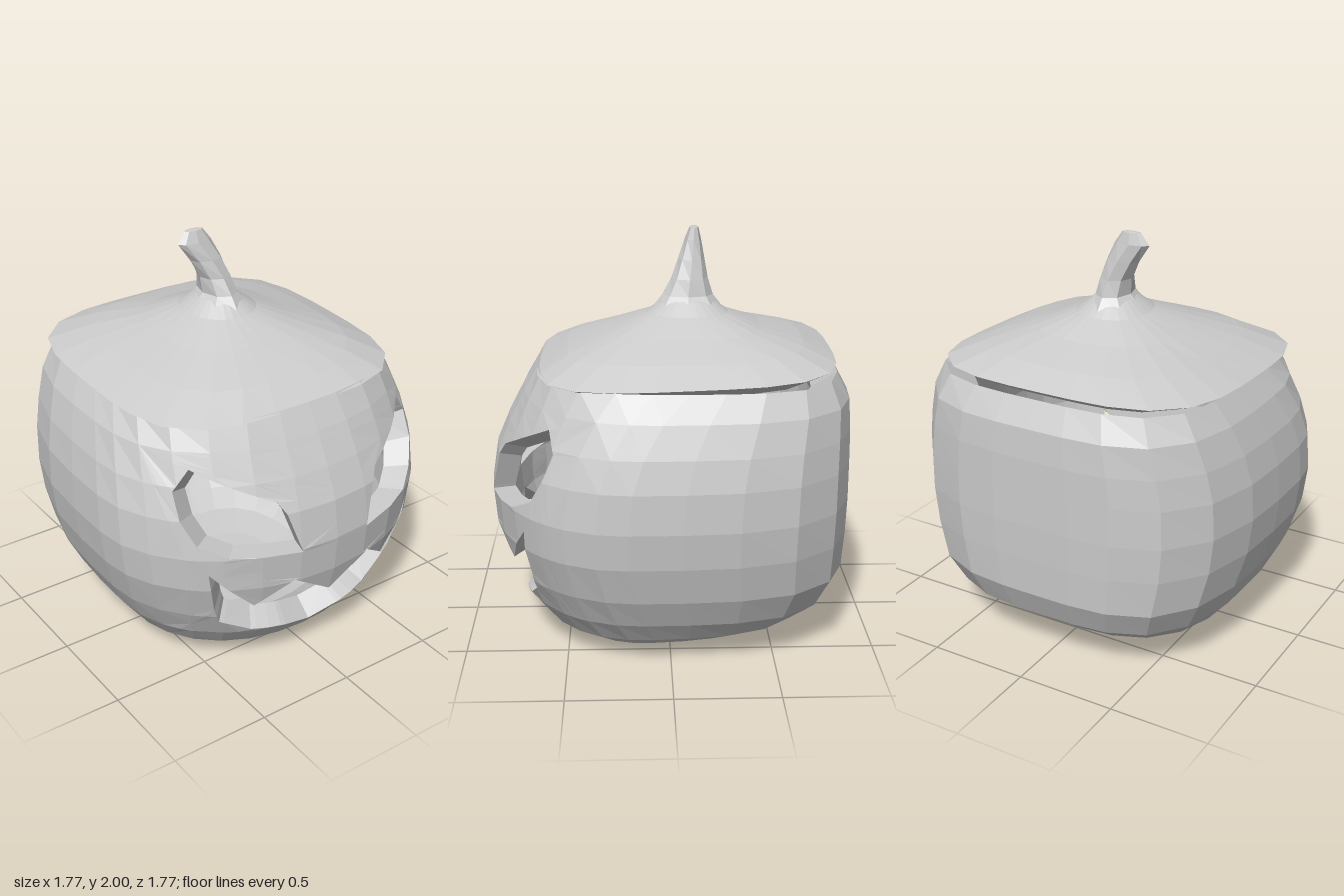
import * as THREE from 'three';

const SEGS = 28, STEP = (Math.PI * 2) / SEGS, FACE_COLS = 5;

// Body sections, bottom to rim: height, centre x, back x, front x, half width z, front roundness, back roundness
const SECTIONS = [
  [0.012, 0.15, 0.15, 0.15, 0, 2.2, 3],
  [0.022, 0.1, -0.3, 0.36, 0.33, 2.2, 3],
  [0.05, 0.08, -0.54, 0.5, 0.52, 2.2, 3],
  [0.13, 0.08, -0.68, 0.64, 0.65, 2.2, 3.2],
  [0.24, 0.12, -0.8, 0.74, 0.73, 2.1, 3.4],
  [0.39, 0.16, -0.87, 0.82, 0.805, 2, 3.5],
  [0.58, 0.2, -0.88, 0.87, 0.86, 2, 3.5],
  [0.76, 0.2, -0.885, 0.885, 0.883, 2, 3.5],
  [0.95, 0.18, -0.885, 0.855, 0.877, 2, 3.5],
  [1.1, 0.13, -0.885, 0.79, 0.845, 2.1, 3.5],
  [1.25, 0.04, -0.875, 0.71, 0.79, 2.4, 3.6],
  [1.37, -0.08, -0.81, 0.635, 0.715, 3, 3.8],
];
const LEVELS = SECTIONS.map((s) => s[0]);
const FACE_LOW = 3, FACE_HIGH = 10;

const roundness = (c, s, n) => (Math.abs(c) ** n + Math.abs(s) ** n) ** (-1 / n);

// Point on the outer skin (depth 0) or the inner wall (depth 1)
function skin(t, y, depth = 0) {
  let i = 0;
  while (i < SECTIONS.length - 2 && y > LEVELS[i + 1]) i++;
  const f = (y - LEVELS[i]) / (LEVELS[i + 1] - LEVELS[i]);
  const [, cx, back, front, half, nf, nb] = SECTIONS[i].map((v, k) => THREE.MathUtils.lerp(v, SECTIONS[i + 1][k], f));
  const c = Math.cos(t), s = Math.sin(t);
  const r = roundness(c, s, c > 0 ? nf : nb) * (depth ? 0.84 : 1);
  const x = cx + (c > 0 ? front - cx : cx - back) * r * c;
  const tilt = -0.05 * x * Math.max(0, 1 - y / 0.25);
  const h = y + tilt;
  return new THREE.Vector3(x, depth ? 0.75 + (h - 0.75) * 0.86 : h, half * r * s);
}

// Angle at which the front skin reaches a given z
function angleAt(z, y) {
  let lo = -1.4, hi = 1.4;
  for (let i = 0; i < 30; i++) {
    const mid = (lo + hi) / 2;
    if (skin(mid, y).z < z) lo = mid; else hi = mid;
  }
  return (lo + hi) / 2;
}

function meshFrom(points, name) {
  const geometry = new THREE.BufferGeometry().setFromPoints(points);
  geometry.computeVertexNormals();
  const material = new THREE.MeshStandardMaterial({ color: 0xcccccc, flatShading: true, side: THREE.DoubleSide });
  const mesh = new THREE.Mesh(geometry, material);
  mesh.name = name;
  return mesh;
}

// Cut convex polygons along one grid line
function cut(polys, axis, value) {
  const out = [];
  for (const p of polys) {
    for (const sign of [1, -1]) {
      const part = [];
      p.forEach((a, i) => {
        const b = p[(i + 1) % p.length];
        const da = (a[axis] - value) * sign, db = (b[axis] - value) * sign;
        if (da >= 0) part.push(a);
        if ((da > 0 && db < 0) || (da < 0 && db > 0)) part.push(a.clone().lerp(b, da / (da - db)));
      });
      const area = THREE.ShapeUtils.area(part);
      if (part.length > 2 && Math.abs(area) > 1e-8) out.push(part);
    }
  }
  return out;
}

function createBody() {
  const pts = [];
  const V = (x, y) => new THREE.Vector2(x, y);
  const addPoly = (poly) => {
    const p = THREE.ShapeUtils.area(poly) < 0 ? poly.slice().reverse() : poly;
    for (let i = 1; i < p.length - 1; i++) {
      for (const q of [p[0], p[i + 1], p[i]]) pts.push(skin(q.x, q.y));
      for (const q of [p[0], p[i], p[i + 1]]) pts.push(skin(q.x, q.y, 1));
    }
  };
  const addWall = (a, b) => {
    const [A, B, C, D] = [skin(a.x, a.y), skin(b.x, b.y), skin(b.x, b.y, 1), skin(a.x, a.y, 1)];
    pts.push(A, B, C, A, C, D);
  };

  // Plain skin outside the carved window, and the rim
  for (let j = 0; j < SEGS; j++) {
    const t0 = (j - SEGS / 2) * STEP, t1 = t0 + STEP;
    const col = j - SEGS / 2;
    for (let i = 0; i < LEVELS.length - 1; i++) {
      if (col >= -FACE_COLS && col < FACE_COLS && i >= FACE_LOW && i < FACE_HIGH) continue;
      addPoly([V(t0, LEVELS[i]), V(t1, LEVELS[i]), V(t1, LEVELS[i + 1]), V(t0, LEVELS[i + 1])]);
    }
    addWall(V(t1, LEVELS.at(-1)), V(t0, LEVELS.at(-1)));
  }

  // Eye and mouth outlines as z, y
  const eye = [[0.615, 1.18], [0.69, 1.08], [0.69, 0.95], [0.64, 0.83], [0.525, 0.77], [0.19, 0.745], [0.255, 0.95], [0.29, 1.01]];
  const halfMouth = [[0.22, 0.59], [0.39, 0.46], [0.6, 0.675], [0.55, 0.44], [0.51, 0.345], [0.35, 0.255], [0.19, 0.23]];
  const flip = (o) => o.map(([z, y]) => [-z, y]).reverse();
  const mouth = [[0, 0.445], ...halfMouth, [0, 0.185], ...flip(halfMouth)];
  const holes = [eye, flip(eye), mouth].map((o) => {
    const h = o.map(([z, y]) => V(angleAt(z, y), y));
    return THREE.ShapeUtils.isClockWise(h) ? h : h.reverse();
  });

  // Carved face window, cut along the same grid as the skin
  const T = FACE_COLS * STEP, low = LEVELS[FACE_LOW], high = LEVELS[FACE_HIGH];
  const frame = [V(-T, low), V(T, low), V(T, high), V(-T, high)];
  const all = [frame, ...holes].flat();
  let polys = THREE.ShapeUtils.triangulateShape(frame, holes).map((f) => f.map((k) => all[k]));
  const lines = [];
  for (let c = 1 - FACE_COLS; c < FACE_COLS; c++) lines.push(['x', c * STEP]);
  for (let i = FACE_LOW + 1; i < FACE_HIGH; i++) lines.push(['y', LEVELS[i]]);
  for (const [axis, value] of lines) polys = cut(polys, axis, value);
  polys.forEach(addPoly);

  // Thick walls of the carved openings
  for (const h of holes) {
    h.forEach((a, i) => {
      const b = h[(i + 1) % h.length];
      const stops = [0, 1];
      for (const [axis, value] of lines) {
        const f = (value - a[axis]) / (b[axis] - a[axis]);
        if (f > 0 && f < 1) stops.push(f);
      }
      stops.sort((p, q) => p - q);
      for (let k = 0; k < stops.length - 1; k++) addWall(a.clone().lerp(b, stops[k]), a.clone().lerp(b, stops[k + 1]));
    });
  }
  return meshFrom(pts, 'carvedBody');
}

// Skin rounded rings given as: centre x, y, z, half x, half z, roundness, slope along x
function loft(rings, segs, name) {
  const pts = [];
  const at = ([cx, y, cz, a, b, n, slope], j) => {
    const t = (j / segs) * Math.PI * 2, c = Math.cos(t), s = Math.sin(t), r = roundness(c, s, n);
    return new THREE.Vector3(cx + a * r * c, y + slope * a * r * c, cz + b * r * s);
  };
  for (let i = 0; i < rings.length - 1; i++) {
    for (let j = 0; j < segs; j++) {
      const A = at(rings[i], j), B = at(rings[i], j + 1), C = at(rings[i + 1], j + 1), D = at(rings[i + 1], j);
      pts.push(A, C, B, A, D, C);
    }
  }
  return meshFrom(pts, name);
}

export function createModel() {
  const group = new THREE.Group();
  group.name = 'carvedPumpkin';
  group.add(createBody());

  // Lid with a closed underside
  group.add(loft([
    [-0.085, 1.33, 0, 0, 0, 3, 0],
    [-0.085, 1.33, 0.01, 0.62, 0.62, 3.6, -0.03],
    [-0.085, 1.385, 0.02, 0.725, 0.73, 3.6, -0.035],
    [-0.085, 1.46, 0, 0.58, 0.55, 3.2, -0.025],
    [-0.09, 1.53, 0, 0.37, 0.35, 2.8, -0.01],
    [-0.1, 1.6, 0, 0.2, 0.18, 2.2, 0],
    [-0.1, 1.66, 0, 0.12, 0.1, 2, 0],
    [-0.1, 1.67, 0, 0, 0, 2, 0],
  ], SEGS, 'lid'));

  // Bent stem
  group.add(loft([
    [-0.1, 1.61, 0, 0.18, 0.15, 2, 0],
    [-0.1, 1.68, 0, 0.125, 0.085, 2, 0],
    [-0.11, 1.76, 0.015, 0.09, 0.08, 2, 0],
    [-0.12, 1.85, 0.055, 0.065, 0.085, 2, 0],
    [-0.13, 1.94, 0.11, 0.04, 0.092, 2, 0],
    [-0.135, 1.995, 0.11, 0.022, 0.05, 2, 0],
    [-0.135, 2, 0.11, 0, 0, 2, 0],
  ], 8, 'stem'));
  return group;
}
